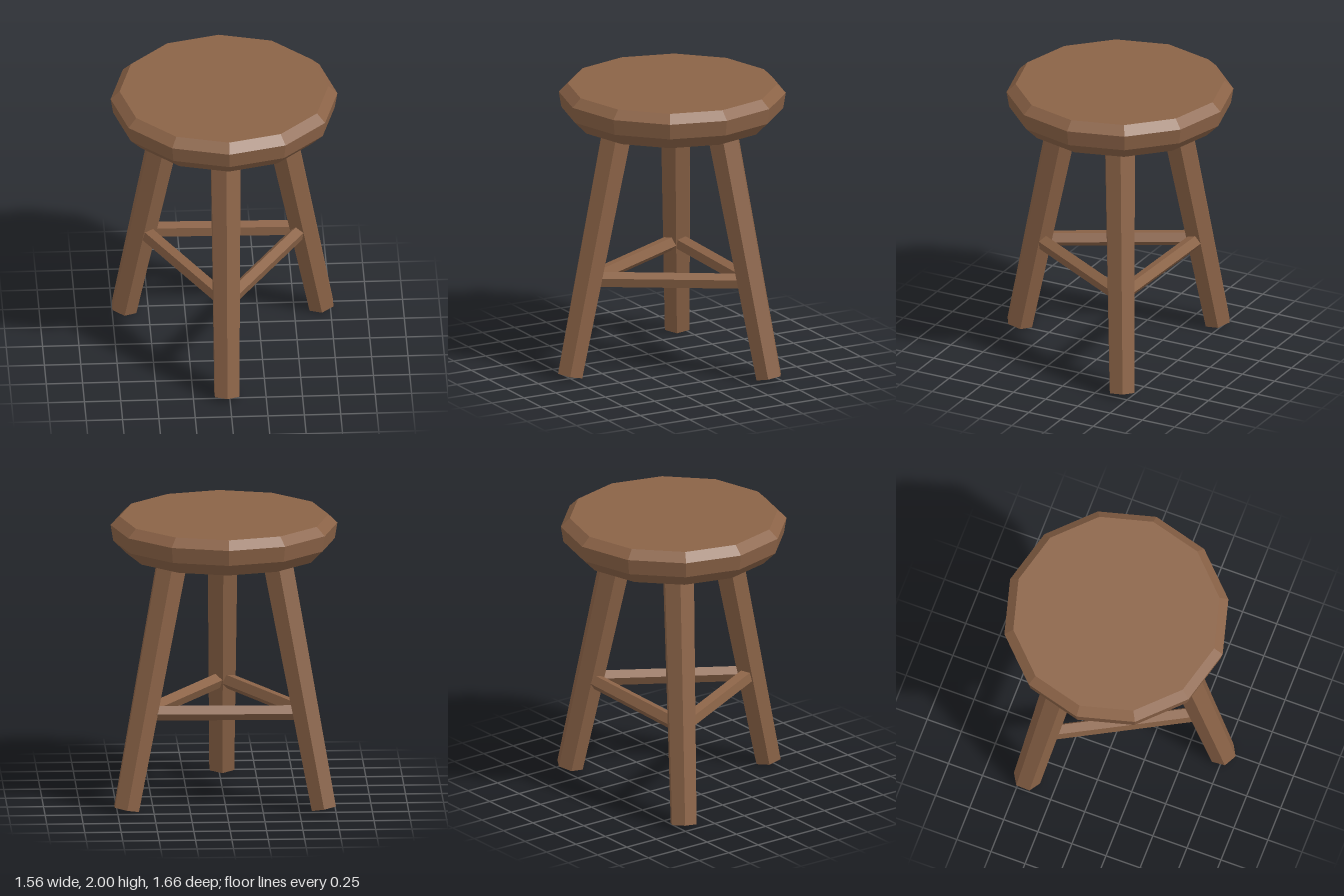
import * as THREE from 'three';

const UP = new THREE.Vector3(0, 1, 0);

// Faceted rod from point a to point b
function rod(name, a, b, rStart, rEnd, sides, thetaStart, material) {
  const dir = b.clone().sub(a);
  const geometry = new THREE.CylinderGeometry(rEnd, rStart, dir.length(), sides, 1, false, thetaStart);
  const mesh = new THREE.Mesh(geometry, material);
  mesh.position.copy(a).add(b).multiplyScalar(0.5);
  mesh.quaternion.setFromUnitVectors(UP, dir.normalize());
  mesh.name = name;
  return mesh;
}

export function createModel() {
  const model = new THREE.Group();
  model.name = 'stool';

  const wood = new THREE.MeshStandardMaterial({ color: 0x8b6347 });
  wood.name = 'brown wood';
  wood.flatShading = true;

  // Twelve-sided seat with bevelled rims
  const profile = [[0, 1.74], [0.672, 1.74], [0.762, 1.83], [0.78, 1.94], [0.718, 2], [0, 2]]
    .map(([r, y]) => new THREE.Vector2(r, y));
  const seat = new THREE.Mesh(new THREE.LatheGeometry(profile, 12), wood);
  seat.position.z = -0.05;
  seat.name = 'seat';
  model.add(seat);

  // Splayed six-sided legs, a little thicker at the top
  const legs = [
    { name: 'rightLeg', foot: [-0.667, 0.022, -0.455], top: [-0.355, 1.74, -0.27] },
    { name: 'frontLeg', foot: [-0.02, 0.021, 0.738], top: [-0.01, 1.74, 0.372] },
    { name: 'leftLeg', foot: [0.687, 0.022, -0.428], top: [0.363, 1.74, -0.24] },
  ].map(({ name, foot, top }) => {
    const a = new THREE.Vector3(...foot);
    const b = new THREE.Vector3(...top);
    const end = a.clone().lerp(b, 1.04); // sunk into the seat
    model.add(rod(name, a, end, 0.097, 0.117, 6, 0, wood));
    return { a, b };
  });

  // Five-sided rungs joining the legs in a ring
  const joints = legs.map(({ a, b }) => a.clone().lerp(b, (0.685 - a.y) / (b.y - a.y)));
  ['rightRung', 'leftRung', 'backRung'].forEach((name, i) => {
    model.add(rod(name, joints[i], joints[(i + 1) % 3], 0.055, 0.055, 5, Math.PI, wood));
  });

  return model;
}
